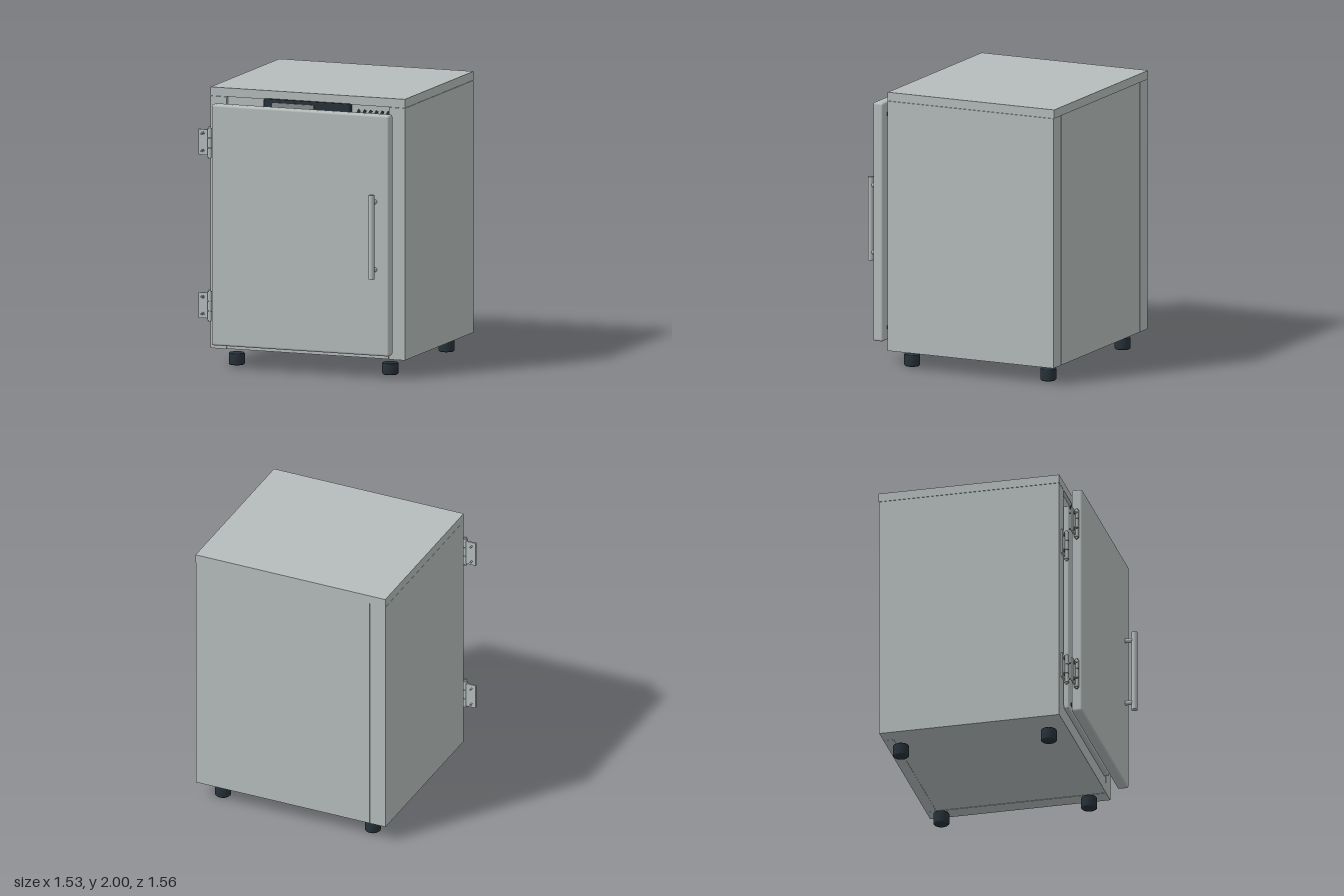
import * as THREE from 'three';
import { RoundedBoxGeometry } from 'three/addons/geometries/RoundedBoxGeometry.js';

export function createModel() {
  const model = new THREE.Group();
  model.name = 'cabinet';
  const mat = (name, color) => {
    const m = new THREE.MeshStandardMaterial({ color });
    m.name = name;
    return m;
  };
  const steel = mat('brushed steel', 0xb6bdbc);
  const dark = mat('dark rubber', 0x27323a);
  const display = mat('display grey', 0x87918f);

  const add = (name, geo, material, parent = model) => {
    const mesh = new THREE.Mesh(geo, material);
    mesh.name = name;
    parent.add(mesh);
    return mesh;
  };
  // Box given by its extents; a radius rounds its edges
  const box = (name, [x0, x1], [y0, y1], [z0, z1], material = steel, parent = model, r = 0) => {
    const s = [x1 - x0, y1 - y0, z1 - z0];
    const geo = r ? new RoundedBoxGeometry(...s, 3, r) : new THREE.BoxGeometry(...s);
    geo.translate((x0 + x1) / 2, (y0 + y1) / 2, (z0 + z1) / 2);
    return add(name, geo, material, parent);
  };
  // Cylinder centred at a point, along y or z
  const rod = (name, r, len, [x, y, z], axis = 'y', material = steel, parent = model) => {
    const geo = new THREE.CylinderGeometry(r, r, len, 24);
    if (axis === 'z') geo.rotateX(Math.PI / 2);
    geo.translate(x, y, z);
    return add(name, geo, material, parent);
  };

  // Cabinet shell
  box('lid', [-0.72, 0.762], [1.937, 2], [-0.78, 0.54]);
  box('rightWall', [-0.72, -0.597], [0.125, 1.935], [-0.775, 0.54]);
  box('leftWall', [0.64, 0.762], [0.125, 1.935], [-0.775, 0.54]);
  box('backPanel', [-0.595, 0.638], [0.125, 1.935], [-0.775, -0.7]);
  box('floorPanel', [-0.595, 0.638], [0.127, 0.2], [-0.7, 0.54]);
  box('frontRail', [-0.595, 0.638], [0.2, 0.26], [0.45, 0.538]);
  box('fascia', [-0.597, 0.64], [1.78, 1.937], [0.42, 0.515]);

  // Inner door closing the chamber
  box('innerDoor', [-0.575, 0.605], [0.24, 1.82], [0.53, 0.573], steel, model, 0.008);

  // Control panel with display
  box('controlPanel', [-0.305, 0.35], [1.83, 1.943], [0.51, 0.57], dark, model, 0.008);
  box('display', [-0.235, 0.08], [1.85, 1.92], [0.568, 0.576], display);

  // Slanted vent slots beside the control panel
  for (let i = 0; i < 6; i++) {
    const slot = add('ventSlot', new THREE.BoxGeometry(0.02, 0.09, 0.006), dark);
    slot.position.set(0.385 + i * 0.045, 1.86, 0.517);
    slot.rotation.z = -0.5;
  }

  // Feet with a thin rounded base
  const footProfile = [[0, 0], [0.05, 0], [0.057, 0.007], [0.057, 0.08], [0.052, 0.086], [0, 0.086]]
    .map(([x, y]) => new THREE.Vector2(x, y));
  for (const x of [-0.565, 0.605]) for (const z of [0.425, -0.655]) {
    add('foot', new THREE.LatheGeometry(footProfile, 28), dark).position.set(x, 0, z);
  }

  // Outer door, standing proud of the cabinet
  const door = new THREE.Group();
  door.name = 'outerDoor';
  model.add(door);
  box('doorPanel', [-0.655, 0.7], [0.17, 1.9], [0.612, 0.692], steel, door, 0.016);
  box('upperSeal', [-0.582, 0.63], [1.79, 1.825], [0.588, 0.614], dark, door, 0.006);
  box('lowerSeal', [-0.582, 0.63], [0.248, 0.278], [0.588, 0.614], dark, door, 0.006);

  // Handle: one bar on two posts, with fixings behind the door
  rod('handleBar', 0.021, 0.605, [0.595, 1.033, 0.759], 'y', steel, door);
  for (const y of [0.79, 1.277]) rod('handlePost', 0.016, 0.07, [0.595, y, 0.72], 'z', steel, door);
  for (const y of [0.81, 1.26]) for (const x of [0.155, 0.255, 0.5]) {
    rod('latchPin', 0.017, 0.046, [x, y, 0.592], 'z');
  }

  // Hinge: leaf with two screws, and three knuckles round a pin
  const hinge = (name, x, y, z) => {
    const g = new THREE.Group();
    g.name = name;
    g.position.set(x, y, z);
    model.add(g);
    box('leaf', [-0.09, -0.015], [-0.092, 0.092], [-0.018, -0.006], steel, g);
    for (const s of [-1, 1]) {
      rod('screwHead', 0.013, 0.006, [-0.058, s * 0.062, -0.004], 'z', display, g);
    }
    for (const s of [-1, 0, 1]) rod('knuckle', 0.018, 0.066, [0, s * 0.071, 0], 'y', steel, g);
    rod('pin', 0.009, 0.232, [0, 0, 0], 'y', steel, g);
    return g;
  };
  for (const [y, innerY] of [[1.62, 1.505], [0.448, 0.54]]) {
    const outer = hinge('outerDoorHinge', -0.678, y, 0.657);
    for (const s of [-1, 1]) rod('screw', 0.006, 0.06, [-0.058, s * 0.062, -0.01], 'z', steel, outer);
    hinge('innerDoorHinge', -0.577, innerY, 0.558);
  }

  return model;
}
